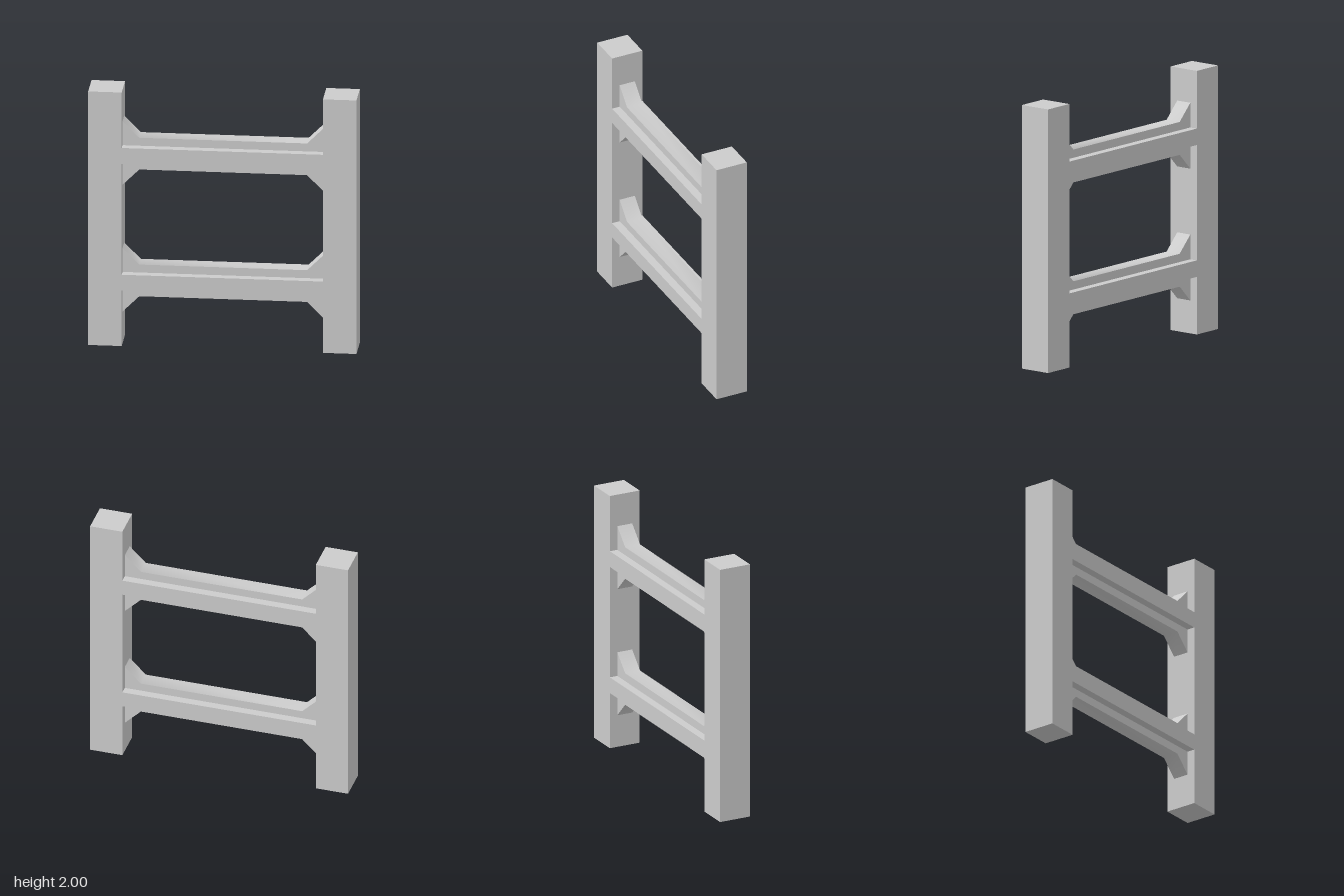
import * as THREE from 'three';
import { toCreasedNormals } from 'three/addons/utils/BufferGeometryUtils.js';

const material = new THREE.MeshStandardMaterial({ color: 0xcccccc });

function addMesh(parent, name, geometry, x, y, z) {
  const mesh = new THREE.Mesh(geometry, material);
  mesh.name = name;
  mesh.position.set(x, y, z);
  parent.add(mesh);
}

// Thin plate with 45 degree brackets flaring at both ends, above and below
function bracedWeb(halfLength, halfHeight, flare, depth) {
  const tip = halfHeight + flare;
  const inner = halfLength - flare;
  const shape = new THREE.Shape([
    [-halfLength, -tip], [-inner, -halfHeight], [inner, -halfHeight], [halfLength, -tip],
    [halfLength, tip], [inner, halfHeight], [-inner, halfHeight], [-halfLength, tip],
  ].map(([x, y]) => new THREE.Vector2(x, y)));
  const geometry = new THREE.ExtrudeGeometry(shape, { depth, bevelEnabled: false });
  geometry.translate(0, 0, -depth / 2);
  // Soft shading across the bracket bends, sharp edges elsewhere
  return toCreasedNormals(geometry, 0.9);
}

export function createModel() {
  const model = new THREE.Group();
  model.name = 'fence';

  // Square posts
  const postGeometry = new THREE.BoxGeometry(0.25, 2, 0.25);
  addMesh(model, 'leftPost', postGeometry, 0.875, 1, 0);
  addMesh(model, 'rightPost', postGeometry, -0.875, 1, 0);

  // Two crossbars, each a wide rail with a braced web through its middle
  const railGeometry = new THREE.BoxGeometry(1.5, 0.125, 0.25);
  const webGeometry = bracedWeb(0.75, 0.125, 0.125, 0.125);
  for (const [name, y] of [['lower', 0.5], ['upper', 1.5]]) {
    const bar = new THREE.Group();
    bar.name = `${name}Crossbar`;
    bar.position.y = y;
    addMesh(bar, `${name}Rail`, railGeometry, 0, 0, 0);
    addMesh(bar, `${name}BracedWeb`, webGeometry, 0, 0, 0);
    model.add(bar);
  }
  return model;
}
